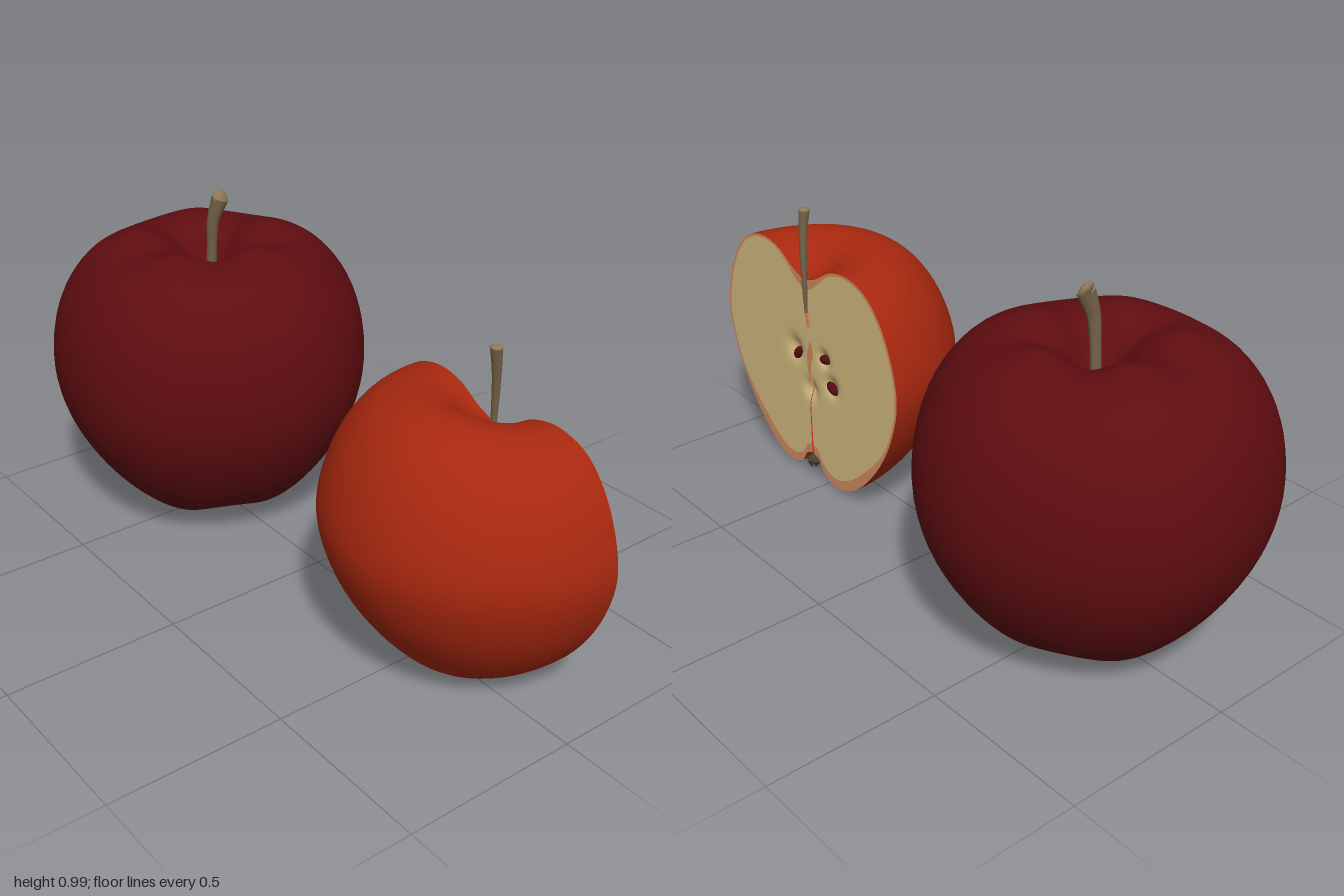
import * as THREE from 'three';
import { ParametricGeometry } from 'three/addons/geometries/ParametricGeometry.js';

const paint = (name, color, side = THREE.FrontSide) => {
  const m = new THREE.MeshStandardMaterial({ color, side });
  m.name = name;
  return m;
};

export function createModel() {
  const mats = {
    darkSkin: paint('dark red skin', 0x5f0d10),
    redSkin: paint('bright red skin', 0xa8280f, THREE.DoubleSide),
    flesh: paint('cream flesh', 0xd6be82),
    peach: paint('peach flesh edge', 0xd58c5f),
    stem: paint('brown stem', 0x746146),
    tip: paint('light stem tip', 0x8f7856),
    seed: paint('dark seed', 0x540c0e),
    calyx: paint('grey brown calyx', 0x4a4232, THREE.DoubleSide),
  };
  const model = new THREE.Group();
  model.name = 'apples';

  const add = (parent, name, geometry, material) => {
    const mesh = new THREE.Mesh(geometry, material);
    mesh.name = name;
    parent.add(mesh);
    return mesh;
  };

  const profile = (pts) => new THREE.CatmullRomCurve3(pts.map(([r, y]) => new THREE.Vector3(r, y, 0)), false, 'centripetal');

  // Point on an apple skin: profile turned round y, swelling into lobes
  const skinPoint = (curve, theta, v, lobe, midY, target) => {
    const p = curve.getPoint(v);
    const ridge = Math.exp(-(((p.x - 0.18) / 0.11) ** 2)) * lobe.height;
    const k = lobe.at(theta);
    const r = p.x * (1 + lobe.swell * k);
    const y = p.y + ridge * k * (p.y > midY ? 1 : -0.8);
    return target.set(r * Math.cos(theta), y, -r * Math.sin(theta));
  };

  // Stem: tube whose radius changes along its length
  const addStem = (parent, pts, radii) => {
    const path = new THREE.CatmullRomCurve3(pts.map((p) => new THREE.Vector3(...p)));
    const steps = 24, sides = 12;
    const geo = new THREE.TubeGeometry(path, steps, 1, sides);
    const pos = geo.attributes.position, p = new THREE.Vector3();
    for (let i = 0; i < pos.count; i++) {
      const t = Math.floor(i / (sides + 1)) / steps;
      const c = path.getPointAt(t);
      const f = t * (radii.length - 1), j = Math.min(Math.floor(f), radii.length - 2);
      p.fromBufferAttribute(pos, i).sub(c).multiplyScalar(THREE.MathUtils.lerp(radii[j], radii[j + 1], f - j)).add(c);
      pos.setXYZ(i, p.x, p.y, p.z);
    }
    geo.computeVertexNormals();
    add(parent, 'stem', geo, mats.stem);
    const tip = add(parent, 'stemTip', new THREE.SphereGeometry(radii.at(-1) * 1.04, 14, 10), mats.tip);
    tip.position.copy(path.getPoint(1));
    tip.scale.z = 0.45;
    return tip;
  };

  // Calyx: ring of little dried sepals hanging from the base
  const addCalyx = (parent, x, y, z) => {
    const calyx = new THREE.Group();
    calyx.name = 'calyx';
    calyx.position.set(x, y, z);
    add(calyx, 'calyxCore', new THREE.SphereGeometry(0.018, 10, 8), mats.calyx);
    for (let i = 0; i < 5; i++) {
      const a = (i / 5) * Math.PI * 2;
      const sepal = add(calyx, 'sepal', new THREE.ConeGeometry(0.009, 0.035, 5), mats.calyx);
      sepal.position.set(Math.cos(a) * 0.014, -0.012, Math.sin(a) * 0.014);
      sepal.rotation.set(Math.PI + 0.3 * Math.sin(a), 0, 0.3 * Math.cos(a));
    }
    parent.add(calyx);
  };

  // Whole apple
  const whole = new THREE.Group();
  whole.name = 'wholeApple';
  whole.position.z = -0.53;
  model.add(whole);
  const wholeCurve = profile([[0.004, 0.1], [0.04, 0.085], [0.08, 0.05], [0.13, 0.036], [0.2, 0.052], [0.28, 0.1],
    [0.37, 0.205], [0.44, 0.34], [0.466, 0.47], [0.452, 0.61], [0.408, 0.72], [0.34, 0.8], [0.25, 0.843],
    [0.17, 0.85], [0.1, 0.815], [0.05, 0.755], [0.004, 0.73]]);
  const wholeLobe = { height: 0.013, swell: 0.011, at: (t) => Math.cos(5 * t + 0.5) };
  add(whole, 'wholeSkin', new ParametricGeometry(
    (u, v, out) => skinPoint(wholeCurve, u * Math.PI * 2, v, wholeLobe, 0.45, out), 80, 64), mats.darkSkin);
  const tip = addStem(whole, [[0.01, 0.7, 0], [0.01, 0.82, 0.008], [0.013, 0.91, 0.017], [0.03, 0.972, 0.03]],
    [0.017, 0.015, 0.015, 0.018, 0.025]);
  tip.rotation.set(-0.5, 0.2, 0);
  addCalyx(whole, 0, 0.08, 0);

  // Half apple, cut flat towards +x
  const half = new THREE.Group();
  half.name = 'halfApple';
  half.position.set(0.12, 0, 0.565);
  model.add(half);
  const halfCurve = profile([[0.004, 0.085], [0.03, 0.075], [0.06, 0.035], [0.12, 0.014], [0.2, 0.04], [0.3, 0.13],
    [0.39, 0.27], [0.434, 0.42], [0.42, 0.53], [0.367, 0.65], [0.3, 0.72], [0.21, 0.747], [0.13, 0.733],
    [0.06, 0.692], [0.004, 0.67]]);
  const halfLobe = { height: 0.018, swell: 0.032, at: (t) => Math.cos(t) ** 2 };
  const halfPoint = (theta, v, out) => skinPoint(halfCurve, theta, v, halfLobe, 0.4, out);
  add(half, 'halfSkin', new ParametricGeometry(
    (u, v, out) => halfPoint(Math.PI * (0.5 + u), v, out), 48, 64), mats.redSkin);

  // Cut face: outline of the cut, drawn inwards to the core
  const core = new THREE.Vector3(0, 0.4, 0);
  const outline = (s, out) => (s < 0.5 ? halfPoint(Math.PI * 1.5, s * 2, out) : halfPoint(Math.PI * 0.5, 2 - s * 2, out)).setX(0);
  const innerScale = (p) => {
    const inDip = p.y > 0.55 ? Math.exp(-((p.z / 0.09) ** 2)) : 0;
    const low = 1 - THREE.MathUtils.smoothstep(p.y, 0.05, 0.28);
    const thick = 0.009 + 0.024 * low + 0.025 * inDip;
    return 1 - thick / p.distanceTo(core);
  };
  add(half, 'fleshEdge', new ParametricGeometry((u, v, out) => {
    outline(u, out);
    const k = THREE.MathUtils.lerp(innerScale(out), 1, v);
    out.sub(core).multiplyScalar(k).add(core);
  }, 128, 2), mats.peach);
  const hollows = [[0.425, 0.07, 0.035], [0.36, -0.115, 0.03], [0.31, -0.005, 0.03], [0.44, -0.08, 0.025]];
  add(half, 'flesh', new ParametricGeometry((u, v, out) => {
    outline(u, out);
    const k = innerScale(out) * Math.max(v, 0.004);
    out.sub(core).multiplyScalar(k).add(core);
    for (const [y, z, w] of hollows) out.x -= 0.016 * Math.exp(-((out.y - y) ** 2 + (out.z - z) ** 2) / (w * w));
  }, 128, 40), mats.flesh);

  // Core: pale crescent and three seeds [y, z, tilt]
  const crescent = new THREE.Shape();
  crescent.moveTo(0.012, 0.08);
  crescent.quadraticCurveTo(-0.032, 0.02, 0.006, -0.08);
  crescent.quadraticCurveTo(-0.004, -0.01, 0.02, 0.04);
  crescent.closePath();
  const strip = add(half, 'coreStrip', new THREE.ExtrudeGeometry(crescent, { depth: 0.008, bevelEnabled: false }), mats.peach);
  strip.rotation.y = Math.PI / 2;
  strip.position.set(-0.006, 0.4, -0.008);
  for (const [y, z, tilt] of [[0.412, 0.057, -0.6], [0.44, -0.085, -1.35], [0.355, -0.115, 1.1]]) {
    const seed = add(half, 'seed', new THREE.SphereGeometry(1, 14, 10), mats.seed);
    seed.scale.set(0.014, 0.026, 0.015);
    seed.position.set(-0.006, y, z);
    seed.rotation.x = tilt;
  }

  // Stem split by the cut, running down into the flesh
  const root = add(half, 'stemRoot', new THREE.SphereGeometry(1, 12, 10), mats.peach);
  root.scale.set(0.004, 0.04, 0.009);
  root.position.set(0, 0.56, -0.009);
  const halfTip = addStem(half, [[0.006, 0.57, -0.01], [0.004, 0.66, -0.008], [0, 0.75, -0.003], [-0.008, 0.83, 0.003], [-0.016, 0.882, 0.006]],
    [0.004, 0.008, 0.01, 0.012, 0.016]);
  halfTip.rotation.x = -Math.PI / 2;
  addCalyx(half, -0.004, 0.062, 0);

  return model;
}
